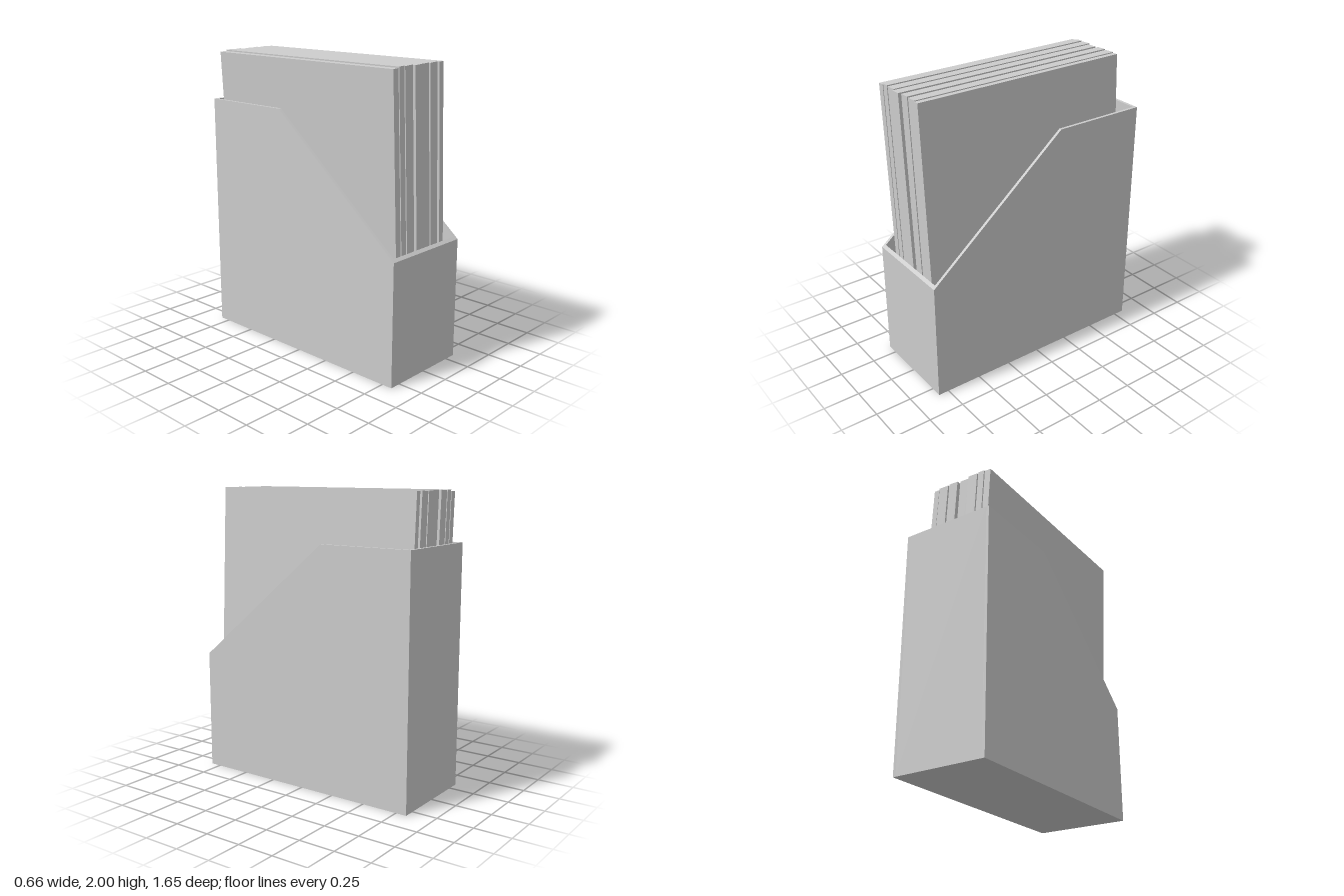
import * as THREE from 'three';

const material = new THREE.MeshStandardMaterial({ color: 0xcccccc, flatShading: true });

const W = 0.33, D = 0.825, T = 0.02;    // half width, half depth, wall thickness
const FRONT = 0.83, BACK = 1.66;        // heights of the front and back walls
const BEND = 0.165;                     // where the slanted rim turns level
const SLOPE = (BACK - FRONT) / (BEND + D);

// Extrudes a side profile (u runs from front to back) across x0..x1
function acrossWidth(points, x0, x1, name) {
  const shape = new THREE.Shape(points.map(([u, y]) => new THREE.Vector2(u, y)));
  const geometry = new THREE.ExtrudeGeometry(shape, { depth: x1 - x0, bevelEnabled: false });
  geometry.rotateY(Math.PI / 2).translate(x0, 0, 0);
  const mesh = new THREE.Mesh(geometry, material);
  mesh.name = name;
  return mesh;
}

export function createModel() {
  const model = new THREE.Group();
  model.name = 'magazineFile';

  // Holder: two slant-cut sides joined by a front, floor and back
  const holder = new THREE.Group();
  holder.name = 'holder';
  const side = [[-D, 0], [D, 0], [D, BACK], [BEND, BACK], [-D, FRONT]];
  const channel = [
    [-D, 0], [D, 0], [D, BACK], [D - T, BACK], [D - T, T],
    [-D + T, T], [-D + T, FRONT + T * SLOPE], [-D, FRONT],
  ];
  holder.add(
    acrossWidth(side, W - T, W, 'leftSide'),
    acrossWidth(side, -W, -W + T, 'rightSide'),
    acrossWidth(channel, -W + T, W - T, 'frontFloorAndBack'),
  );
  model.add(holder);

  // Leaning magazines: [left x at top, right x at top, z offset, top height]
  const magazines = new THREE.Group();
  magazines.name = 'magazines';
  const LEAN = 0.051, HEIGHT = 1.38, LENGTH = 1.545;
  [
    [-0.302, -0.256, 0, 1.99],
    [-0.249, -0.203, 0, 2],
    [-0.194, -0.122, 0, 2],
    [-0.115, -0.045, 0.014, 2],
    [-0.032, 0.036, 0, 2],
    [0.047, 0.119, 0, 2],
    [0.129, 0.168, 0.009, 2],
  ].forEach(([x0, x1, dz, top], i) => {
    const thickness = x1 - x0;
    const geometry = new THREE.BoxGeometry(thickness, HEIGHT, LENGTH);
    geometry.translate(-thickness / 2, -HEIGHT / 2, 0);   // pivot at the upper edge
    const magazine = new THREE.Mesh(geometry, material);
    magazine.name = `magazine${i + 1}`;
    magazine.position.set(x1, top, dz - 0.002);
    magazine.rotation.z = LEAN;
    magazines.add(magazine);
  });
  model.add(magazines);

  return model;
}
